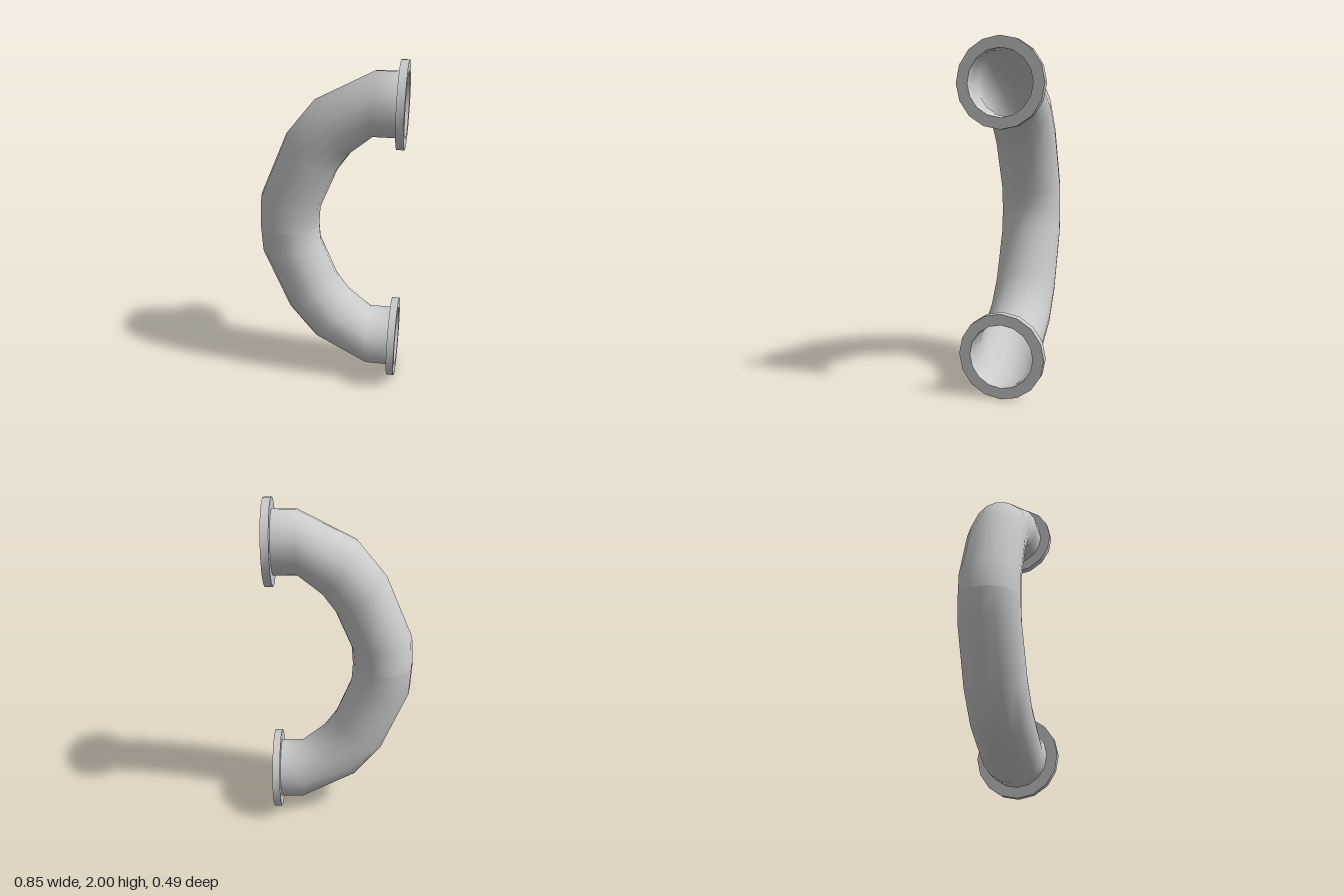
import * as THREE from 'three';
import { toCreasedNormals } from 'three/addons/utils/BufferGeometryUtils.js';

const SIDES = 16;
const R = 0.183;
const PORT_Y = 0.7535;

// Cross-sections of half the bend: [inner x, inner y, outer x, outer y]
const SECTIONS = [
  [0.38, PORT_Y - R, 0.38, PORT_Y + R],
  [0.245, PORT_Y - R, 0.245, PORT_Y + R],
  [0.115, 0.46, -0.09, 0.762],
  [0.04, 0.353, -0.255, 0.557],
  [-0.06, 0.113, -0.415, 0.175],
  [-0.068, 0, -0.425, 0],
];

// Open tube skinned through the cross-sections
function halfPipeGeometry() {
  const positions = [];
  const index = [];
  SECTIONS.forEach(([ix, iy, ox, oy], i) => {
    for (let j = 0; j < SIDES; j++) {
      const a = (j / SIDES) * Math.PI * 2;
      const t = (1 + Math.cos(a)) / 2;
      positions.push(ix + (ox - ix) * t, iy + (oy - iy) * t, R * Math.sin(a));
      if (i === SECTIONS.length - 1) continue;
      const p = i * SIDES + j;
      const q = i * SIDES + ((j + 1) % SIDES);
      index.push(p, p + SIDES, q, q, p + SIDES, q + SIDES);
    }
  });
  const geometry = new THREE.BufferGeometry();
  geometry.setAttribute('position', new THREE.Float32BufferAttribute(positions, 3));
  geometry.setIndex(index);
  geometry.computeVertexNormals();
  return geometry;
}

// Flat ring around the pipe mouth, facing +x
function flangeGeometry() {
  const profile = [[R, 0.425], [R, 0.38], [0.2465, 0.38], [0.2465, 0.425], [R, 0.425]]
    .map(([r, y]) => new THREE.Vector2(r, y));
  const geometry = new THREE.LatheGeometry(profile, SIDES);
  geometry.rotateZ(-Math.PI / 2);
  geometry.translate(0, PORT_Y, 0);
  return toCreasedNormals(geometry, 0.6);
}

export function createModel() {
  const model = new THREE.Group();
  model.name = 'pipeBend';
  const material = new THREE.MeshStandardMaterial({ color: 0xcccccc, side: THREE.DoubleSide });
  const pipe = halfPipeGeometry();
  const flange = flangeGeometry();

  // The lower half is the upper half turned over about the x axis
  for (const half of ['upper', 'lower']) {
    const group = new THREE.Group();
    group.name = half + 'Half';
    const pipeMesh = new THREE.Mesh(pipe, material);
    pipeMesh.name = half + 'Pipe';
    const flangeMesh = new THREE.Mesh(flange, material);
    flangeMesh.name = half + 'Flange';
    group.add(pipeMesh, flangeMesh);
    group.position.y = 1;
    if (half === 'lower') group.rotation.x = Math.PI;
    model.add(group);
  }
  return model;
}
